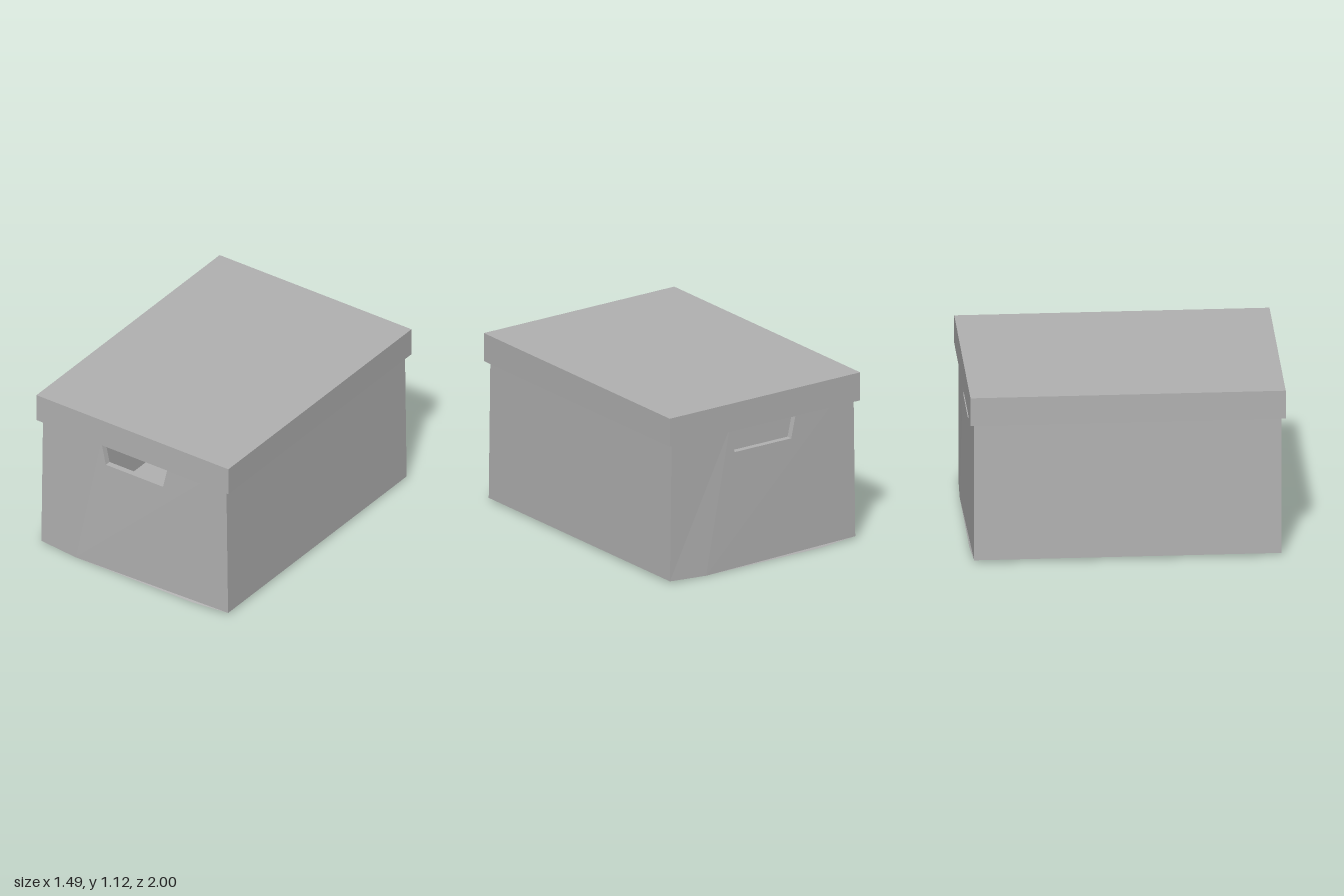
import * as THREE from 'three';

const points = (list) => list.map(([x, y]) => new THREE.Vector2(x, y));

function mesh(name, geometry, material) {
  const m = new THREE.Mesh(geometry, material);
  m.name = name;
  return m;
}

function extrude(shape, depth) {
  return new THREE.ExtrudeGeometry(shape, { depth, bevelEnabled: false, steps: 1 });
}

export function createModel() {
  const group = new THREE.Group();
  group.name = 'storageBox';
  const card = new THREE.MeshStandardMaterial({ color: 0xb2b2b2 });
  card.name = 'grey card';

  const topY = 1.1, wall = 0.04;

  // Floor and leaning side walls: one U-shaped section, sagging slightly in the middle
  const tray = new THREE.Shape(points([
    [-0.725, 0.016], [-0.45, 0], [0.45, 0], [0.725, 0.016], [0.71, topY],
    [0.71 - wall, topY], [0.725 - wall, 0.05], [-0.725 + wall, 0.05],
    [-0.71 + wall, topY], [-0.71, topY],
  ]));
  group.add(mesh('floorAndSides', extrude(tray, 1.88).translate(0, 0, -0.94), card));

  // End panels with a tapered hand hole
  const panel = new THREE.Shape(points([
    [-0.725, 0.016], [-0.45, 0], [0.45, 0], [0.725, 0.016], [0.71, topY], [-0.71, topY],
  ]));
  panel.holes.push(new THREE.Path(points([
    [-0.222, 0.78], [-0.26, 0.945], [0.26, 0.945], [0.222, 0.78],
  ])));
  for (const [name, turn] of [['frontPanel', 0], ['backPanel', Math.PI]]) {
    const geo = extrude(panel, wall).translate(0, 0, 0.975 - wall);
    // Bow the lower middle of the panel outwards
    const p = geo.attributes.position;
    for (let i = 0; i < p.count; i++) {
      if (Math.abs(p.getX(i)) < 0.5) p.setZ(i, p.getZ(i) + 0.011 * (1 - p.getY(i) / topY));
    }
    geo.computeVertexNormals();
    geo.rotateY(turn);
    group.add(mesh(name, geo, card));
  }

  // Lid: flat top with a thin rim hanging over the body
  const lid = new THREE.Group();
  lid.name = 'lid';
  const rect = (x, z) => points([[-x, -z], [x, -z], [x, z], [-x, z]]);
  const rim = new THREE.Shape(rect(0.745, 1));
  rim.holes.push(new THREE.Path(rect(0.725, 0.98).reverse()));
  lid.add(mesh('lidRim', extrude(rim, 0.17).rotateX(-Math.PI / 2).translate(0, 0.932, 0), card));
  lid.add(mesh('lidTop', new THREE.BoxGeometry(1.49, 0.018, 2).translate(0, 1.111, 0), card));
  group.add(lid);

  return group;
}
